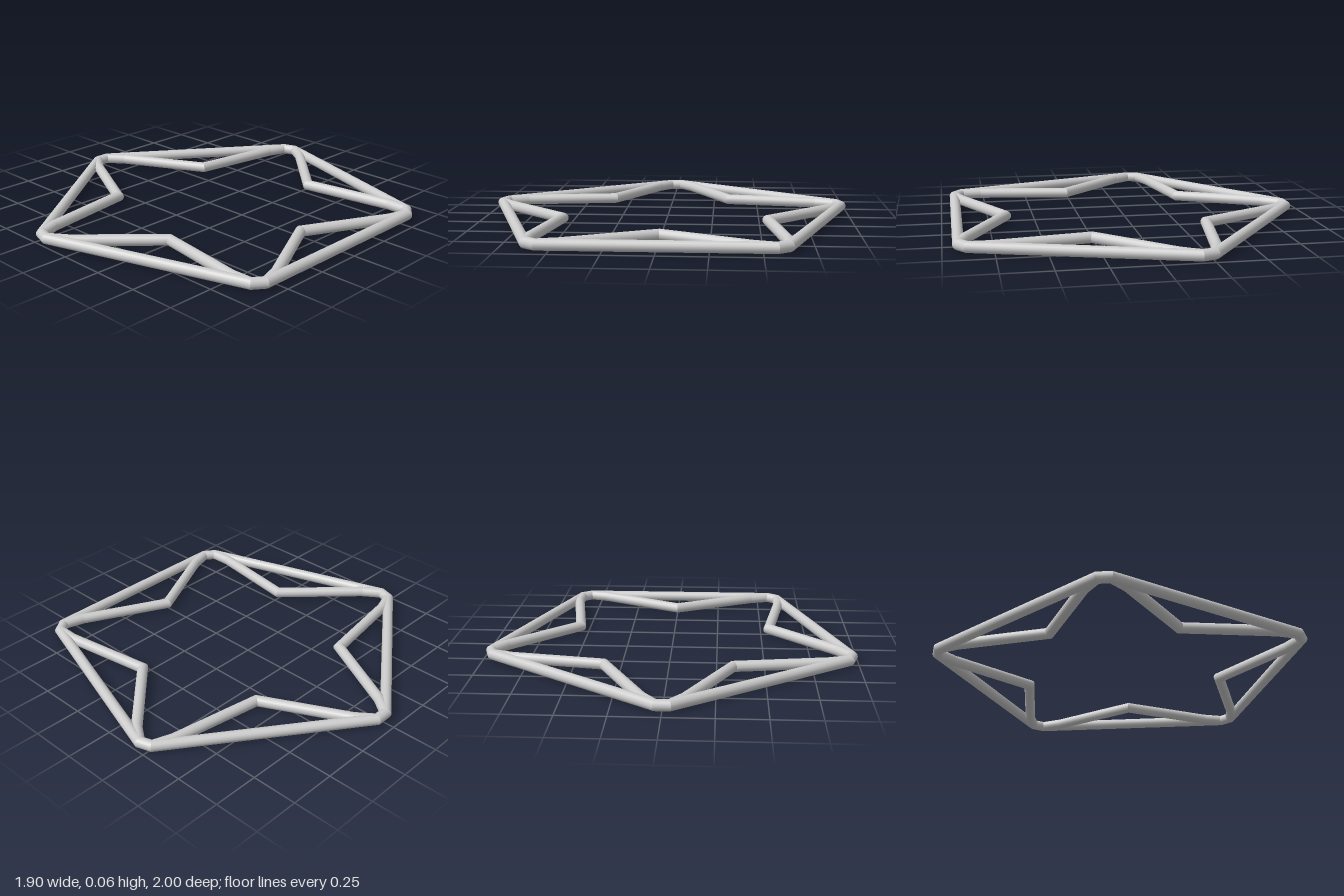
import * as THREE from 'three';

const RADIUS = 0.029, SIDES = 16, CENTRE_X = 0.086;
const material = new THREE.MeshStandardMaterial({ color: 0xcccccc, side: THREE.DoubleSide });

// Round bar swept along a flat path of Vector2(x, z), with mitred joints
function mitredBar(path, closed) {
  const count = path.length, segments = closed ? count : count - 1;
  const normals = [];
  for (let i = 0; i < segments; i++) {
    const t = path[(i + 1) % count].clone().sub(path[i]).normalize();
    normals.push(new THREE.Vector2(t.y, -t.x));
  }
  const mitre = (i) => {
    const before = normals[closed ? (i + segments - 1) % segments : Math.max(i - 1, 0)];
    const after = normals[closed ? i % segments : Math.min(i, segments - 1)];
    return before.clone().add(after).divideScalar(1 + before.dot(after));
  };
  const positions = [], normalData = [], index = [];
  for (let i = 0; i < segments; i++) {
    const base = positions.length / 3;
    for (const k of [i, i + 1]) {
      const p = path[k % count], m = mitre(k);
      for (let j = 0; j <= SIDES; j++) {
        const a = (j / SIDES) * Math.PI * 2, c = Math.cos(a), s = Math.sin(a);
        positions.push(p.x + m.x * c * RADIUS, RADIUS + s * RADIUS, p.y + m.y * c * RADIUS);
        normalData.push(normals[i].x * c, s, normals[i].y * c);
      }
    }
    for (let j = 0; j < SIDES; j++) {
      const a = base + j, b = a + 1, c = a + SIDES + 1, d = c + 1;
      index.push(a, b, c, b, d, c);
    }
  }
  const geometry = new THREE.BufferGeometry();
  geometry.setAttribute('position', new THREE.Float32BufferAttribute(positions, 3));
  geometry.setAttribute('normal', new THREE.Float32BufferAttribute(normalData, 3));
  geometry.setIndex(index);
  return geometry;
}

// Point given by distance along, and offset across, a ray from the centre
function onRay(degrees, along, across) {
  const a = THREE.MathUtils.degToRad(degrees);
  return new THREE.Vector2(
    CENTRE_X + along * Math.cos(a) - across * Math.sin(a),
    along * Math.sin(a) + across * Math.cos(a));
}

export function createModel() {
  const group = new THREE.Group();
  group.name = 'starFrame';
  const add = (name, geometry) => {
    const mesh = new THREE.Mesh(geometry, material);
    mesh.name = name;
    group.add(mesh);
  };

  // Outer pentagon with clipped corners
  const rim = [];
  for (let i = 0; i < 5; i++) {
    const corner = 36 + i * 72;
    rim.push(onRay(corner, 1.007, -0.035), onRay(corner, 1.007, 0.035));
  }
  add('pentagonRim', mitredBar(rim, true));

  // Inner star: one bent bar between each pair of neighbouring corners
  for (let i = 0; i < 5; i++) {
    const middle = i * 72;
    add('starBar' + (i + 1), mitredBar([
      onRay(middle - 36, 1.007, 0.035),
      onRay(middle - 36, 0.915, 0.105),
      onRay(middle, 0.573, 0),
      onRay(middle + 36, 0.915, -0.105),
      onRay(middle + 36, 1.007, -0.035),
    ], false));
  }
  return group;
}
